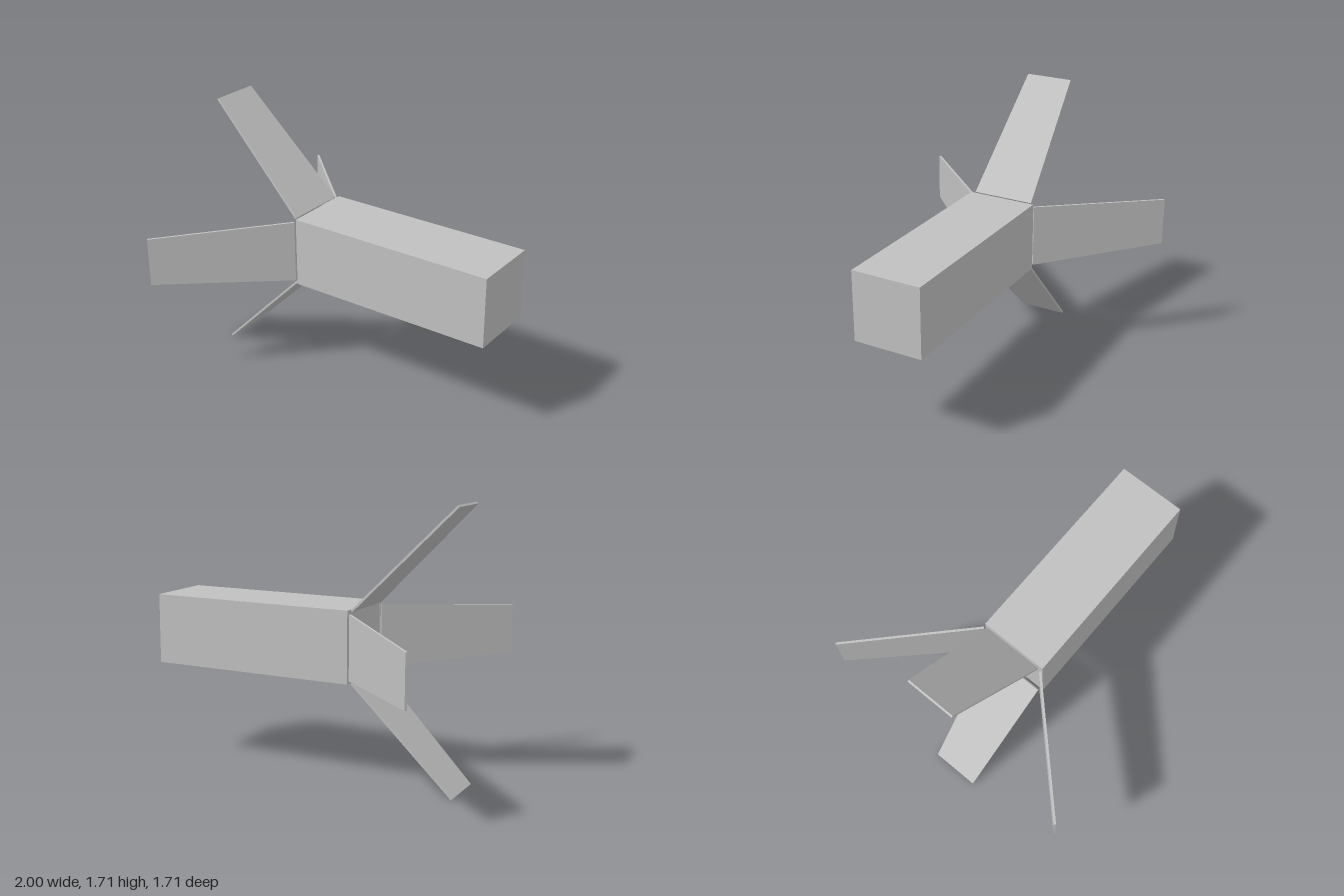
import * as THREE from 'three';

const BODY = { length: 1.344, side: 0.445, x: 0.328, y: 0.857 };
const FIN = { length: 0.897, root: 0.4, tip: 0.31, thickness: 0.014 };

// Tapered plate standing on its root edge, then swept back by 45 degrees
function finGeometry() {
  const r = FIN.root / 2, t = FIN.tip / 2;
  const outline = new THREE.Shape([
    new THREE.Vector2(-r, 0),
    new THREE.Vector2(r, 0),
    new THREE.Vector2(t, FIN.length),
    new THREE.Vector2(-t, FIN.length),
  ]);
  const geometry = new THREE.ExtrudeGeometry(outline, { depth: FIN.thickness, bevelEnabled: false });
  geometry.translate(0, 0, -FIN.thickness / 2);
  geometry.rotateY(Math.PI / 2);
  geometry.rotateZ(Math.PI / 4);
  geometry.translate(-0.361, 0.218, 0);
  return geometry;
}

export function createModel() {
  const model = new THREE.Group();
  model.name = 'finnedBlock';
  const grey = new THREE.MeshStandardMaterial({ color: 0xc0c0c0 });
  grey.name = 'light grey';

  // Long square body
  const body = new THREE.Mesh(new THREE.BoxGeometry(BODY.length, BODY.side, BODY.side), grey);
  body.name = 'body';
  body.position.set(BODY.x, BODY.y, 0);
  model.add(body);

  // Four fins spread around the body's long axis
  const geometry = finGeometry();
  ['topFin', 'frontFin', 'bottomFin', 'backFin'].forEach((name, i) => {
    const fin = new THREE.Mesh(geometry, grey);
    fin.name = name;
    fin.position.y = BODY.y;
    fin.rotation.x = i * Math.PI / 2;
    model.add(fin);
  });

  return model;
}
